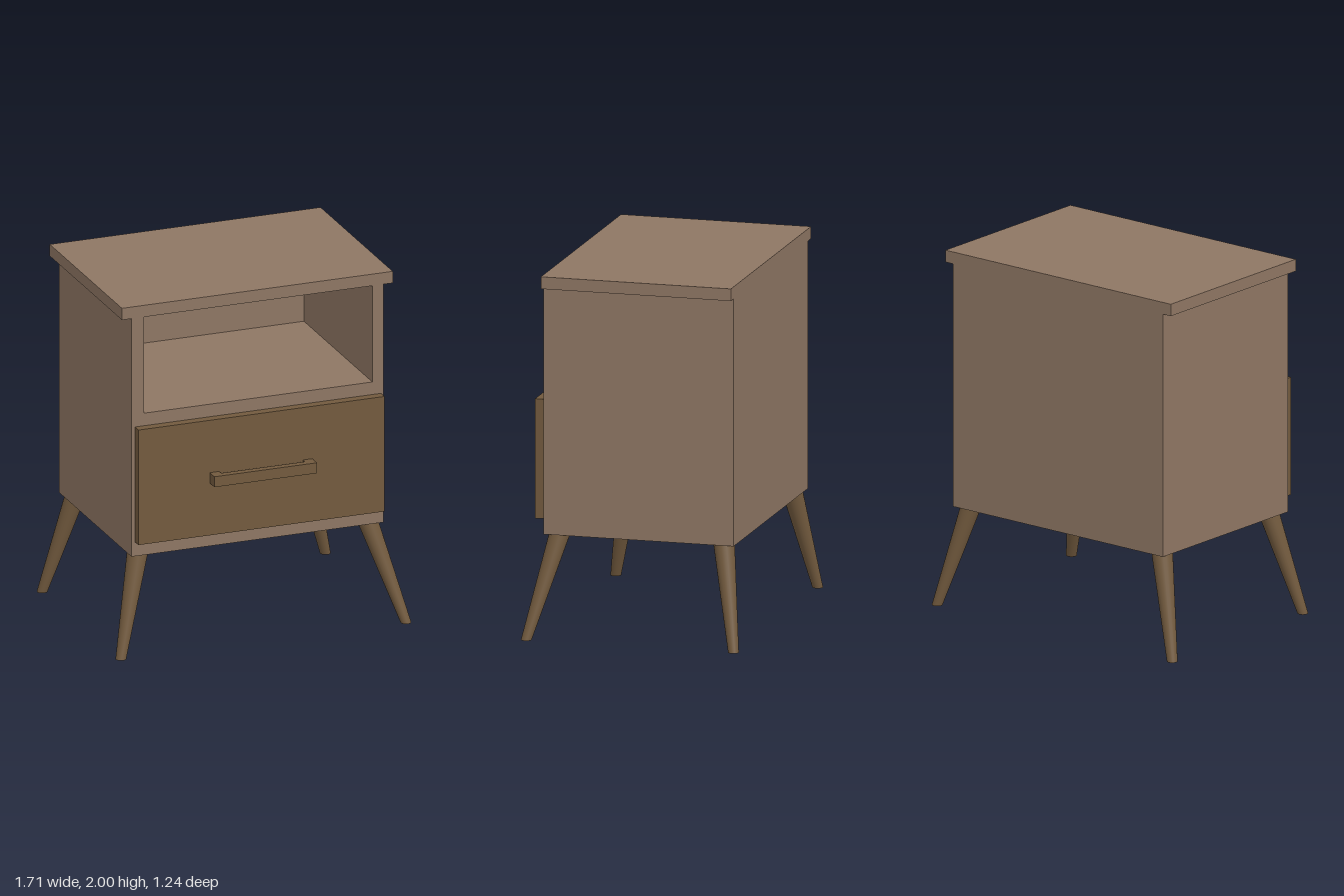
import * as THREE from 'three';

const carcassWood = new THREE.MeshStandardMaterial({ name: 'carcassWood', color: 0x8e7663 });
const darkWood = new THREE.MeshStandardMaterial({ name: 'darkWood', color: 0x725a3e });

// Box given by its min and max corners
function box(name, material, [x0, y0, z0], [x1, y1, z1]) {
  const mesh = new THREE.Mesh(new THREE.BoxGeometry(x1 - x0, y1 - y0, z1 - z0), material);
  mesh.name = name;
  mesh.position.set((x0 + x1) / 2, (y0 + y1) / 2, (z0 + z1) / 2);
  return mesh;
}

// Tapered leg, sheared so that both ends stay level
function leg(name, [topX, topZ], [footX, footZ]) {
  const height = 0.566;
  const geometry = new THREE.CylinderGeometry(0.058, 0.029, height, 24);
  geometry.translate(0, height / 2, 0);
  const shear = new THREE.Matrix4().set(
    1, (topX - footX) / height, 0, footX,
    0, 1, 0, 0,
    0, (topZ - footZ) / height, 1, footZ,
    0, 0, 0, 1
  );
  geometry.applyMatrix4(shear);
  const mesh = new THREE.Mesh(geometry, darkWood);
  mesh.name = name;
  return mesh;
}

export function createModel() {
  const model = new THREE.Group();
  model.name = 'nightstand';

  // Carcass: U-shaped section with the open shelf as its notch
  const profile = new THREE.Shape([
    [-0.74, 0.565], [0.72, 0.565], [0.72, 1.933], [0.655, 1.933],
    [0.655, 1.38], [-0.668, 1.38], [-0.668, 1.933], [-0.74, 1.933]
  ].map(([x, y]) => new THREE.Vector2(x, y)));
  const carcass = new THREE.Mesh(
    new THREE.ExtrudeGeometry(profile, { depth: 1.065, bevelEnabled: false }), carcassWood);
  carcass.name = 'carcass';
  carcass.position.z = -0.565;
  model.add(carcass);

  // Back of the shelf and the overhanging top
  model.add(box('shelfBack', carcassWood, [-0.668, 1.38, -0.565], [0.655, 1.933, -0.51]));
  model.add(box('top', carcassWood, [-0.795, 1.933, -0.565], [0.773, 2, 0.5]));

  // Drawer front with a bar handle on two posts
  const drawer = new THREE.Group();
  drawer.name = 'drawer';
  drawer.add(box('drawerFront', darkWood, [-0.72, 0.647, 0.5], [0.705, 1.308, 0.552]));
  drawer.add(box('handleBar', darkWood, [-0.307, 0.947, 0.58], [0.287, 1.007, 0.62]));
  for (const x of [-0.307, 0.232]) {
    drawer.add(box('handlePost', darkWood, [x, 0.947, 0.552], [x + 0.055, 1.007, 0.58]));
  }
  model.add(drawer);

  // Splayed legs
  model.add(leg('frontRightLeg', [-0.672, 0.42], [-0.815, 0.535]));
  model.add(leg('frontLeftLeg', [0.653, 0.427], [0.822, 0.568]));
  model.add(leg('backRightLeg', [-0.675, -0.492], [-0.828, -0.593]));
  model.add(leg('backLeftLeg', [0.653, -0.492], [0.81, -0.59]));

  return model;
}
